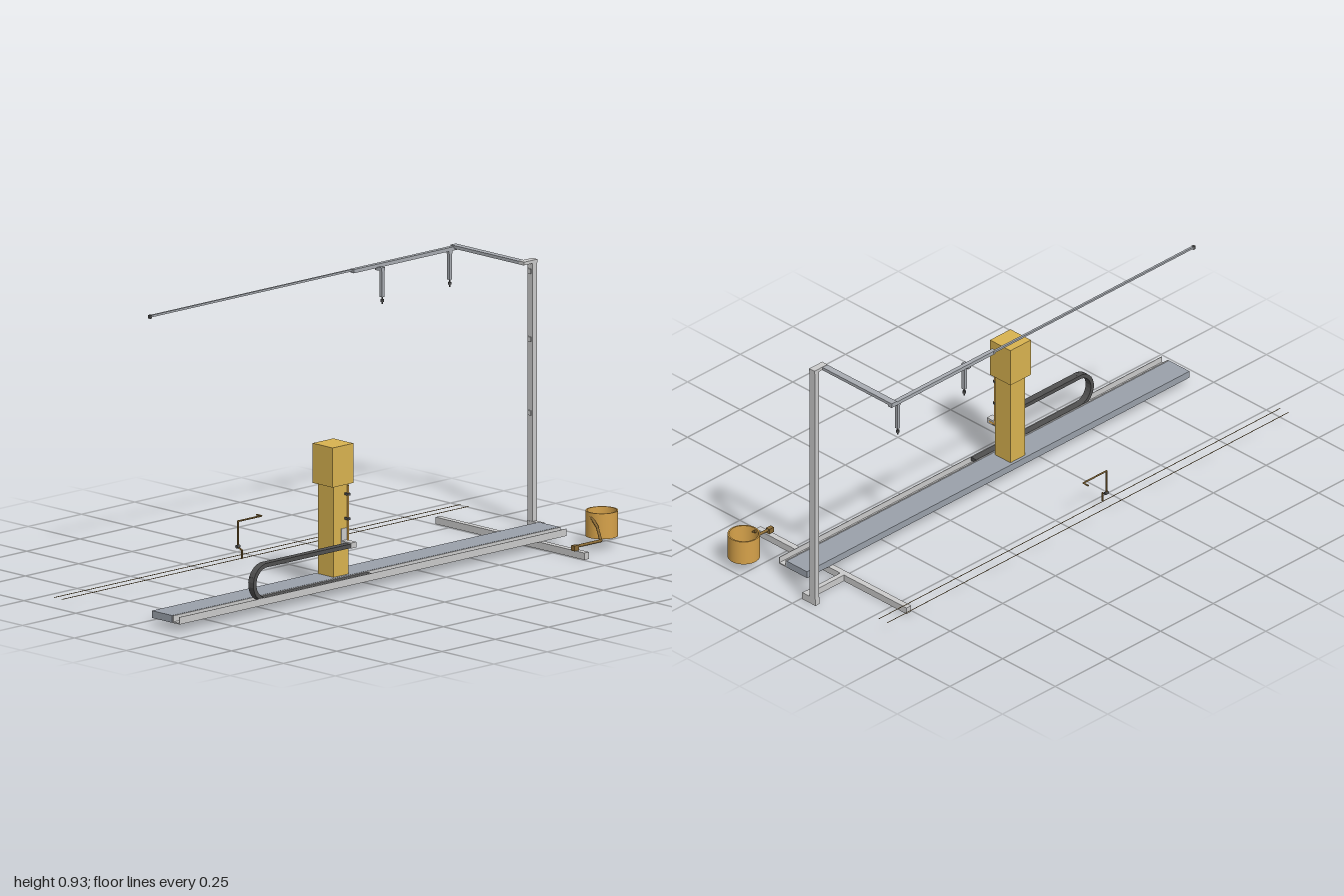
import * as THREE from 'three';

const mat = (color) => new THREE.MeshStandardMaterial({ color, side: THREE.DoubleSide });

export function createModel() {
  const model = new THREE.Group();
  const grey = mat(0xcccccc), steel = mat(0x9aa1ab), boomGrey = mat(0xa9adb3);
  const amber = mat(0xd9b350), brass = mat(0xd6a24a), bronze = mat(0x8a6a35), dark = mat(0x505050);

  const add = (name, geometry, material, parent = model) => {
    const mesh = new THREE.Mesh(geometry, material);
    mesh.name = name;
    parent.add(mesh);
    return mesh;
  };
  // Box given by its limits on each axis
  const box = (name, m, x0, x1, y0, y1, z0, z1) => {
    const b = add(name, new THREE.BoxGeometry(x1 - x0, y1 - y0, z1 - z0), m);
    b.position.set((x0 + x1) / 2, (y0 + y1) / 2, (z0 + z1) / 2);
    return b;
  };
  // Round bar between two points
  const rod = (name, m, a, b, r, sides = 10) => {
    const p = new THREE.Vector3(...a), q = new THREE.Vector3(...b), d = q.clone().sub(p);
    const c = add(name, new THREE.CylinderGeometry(r, r, d.length(), sides), m);
    c.position.copy(p).add(q).multiplyScalar(0.5);
    c.quaternion.setFromUnitVectors(new THREE.Vector3(0, 1, 0), d.normalize());
    return c;
  };
  // Bent bar with ball joints at the corners
  const bentRod = (name, m, points, r) => {
    points.forEach((p, i) => {
      if (i) rod(name, m, points[i - 1], p, r);
      if (i && i < points.length - 1) add(name + 'Bend', new THREE.SphereGeometry(r, 10, 8), m).position.set(...p);
    });
  };

  // Long floor platform and the open cable tray along its front
  box('platform', steel, -0.935, 0.88, 0.025, 0.05, 0.05, 0.147);
  box('trayFloor', grey, -0.935, 0.88, 0.025, 0.029, 0.149, 0.183);
  box('trayFrontWall', grey, -0.935, 0.88, 0.025, 0.05, 0.181, 0.183);
  box('trayBackWall', grey, -0.935, 0.88, 0.025, 0.05, 0.149, 0.153);

  // Travelling column with its head
  box('column', amber, -0.166, -0.096, 0.05, 0.367, 0.061, 0.135);
  box('columnHead', amber, -0.182, -0.085, 0.365, 0.502, 0.05, 0.147);

  // Cable chain: links along bottom run, half turn and top run
  const chain = new THREE.Group();
  chain.name = 'cableChain';
  model.add(chain);
  const cx = -0.52, cy = 0.101, r = 0.059, pitch = 0.0155;
  const bottom = cx + 0.49, runs = [bottom - cx, Math.PI * r, 0.405];
  const linkGeometry = new THREE.BoxGeometry(pitch * 1.12, 0.014, 0.025);
  const total = runs[0] + runs[1] + runs[2];
  for (let s = pitch / 2; s < total; s += pitch) {
    const link = add('chainLink', linkGeometry, dark, chain);
    if (s < runs[0]) link.position.set(bottom - s, cy - r, 0.168);
    else if (s < runs[0] + runs[1]) {
      const a = (s - runs[0]) / r;
      link.position.set(cx - r * Math.sin(a), cy - r * Math.cos(a), 0.168);
      link.rotation.z = -a;
    } else link.position.set(cx + s - runs[0] - runs[1], cy + r, 0.168);
  }

  // Chain bracket and the feed pipe climbing the column
  box('chainBracket', grey, -0.132, -0.106, 0.152, 0.171, 0.135, 0.183);
  box('bracketPlate', grey, -0.132, -0.106, 0.152, 0.212, 0.134, 0.138);
  bentRod('feedPipe', brass, [[-0.108, 0.16, 0.172], [-0.108, 0.16, 0.145], [-0.108, 0.36, 0.145]], 0.004);
  for (const y of [0.245, 0.33]) box('pipeClamp', dark, -0.114, -0.102, y - 0.004, y + 0.004, 0.134, 0.151);

  // Floor beams at the far end
  box('floorBeam', grey, 0.755, 0.777, 0, 0.024, -0.32, 0.397);
  box('sideBeam', grey, 0.777, 0.957, 0, 0.024, -0.022, -0.004);
  box('postFoot', grey, 0.938, 0.957, 0, 0.026, -0.067, -0.004);

  // Tall post with clips, and the overhead arm
  box('post', grey, 0.94, 0.96, 0.026, 0.922, -0.067, -0.042);
  for (const y of [0.4, 0.655, 0.89]) box('postClip', grey, 0.934, 0.942, y - 0.008, y + 0.008, -0.062, -0.047);
  box('postCap', grey, 0.9, 0.962, 0.918, 0.929, -0.067, -0.042);
  box('overheadArm', boomGrey, 0.9, 0.924, 0.917, 0.928, -0.397, -0.045);
  box('boom', boomGrey, 0.43, 0.924, 0.911, 0.924, -0.396, -0.38);
  box('boomExtension', boomGrey, -0.51, 0.44, 0.916, 0.923, -0.397, -0.389);
  box('boomTip', dark, -0.517, -0.508, 0.912, 0.924, -0.398, -0.388);

  // Hanging heads below the boom
  for (const [x, z] of [[0.55, -0.367], [0.885, -0.386]]) {
    box('hangerMount', boomGrey, x - 0.008, x + 0.008, 0.902, 0.914, Math.min(z, -0.386) - 0.006, z + 0.006);
    box('hanger', boomGrey, x - 0.006, x + 0.006, 0.812, 0.906, z - 0.006, z + 0.006);
    rod('hangerTip', dark, [x, 0.787, z], [x, 0.814, z], 0.0028);
    rod('hangerCollar', dark, [x, 0.795, z], [x, 0.803, z], 0.0062);
  }

  // Open ring-shaped cup on a bent arm
  const wall = [[0.05, 0], [0.055, 0], [0.055, 0.088], [0.05, 0.088], [0.05, 0]];
  for (let i = 1; i < wall.length; i++) {
    const profile = [wall[i - 1], wall[i]].map(([x, y]) => new THREE.Vector2(x, y));
    add('cup', new THREE.LatheGeometry(profile, 48), brass).position.set(0.941, 0.035, 0.29);
  }
  bentRod('cupArm', bronze,
    [[0.748, 0.037, 0.348], [0.88, 0.037, 0.348], [0.88, 0.082, 0.33], [0.893, 0.115, 0.28]], 0.005);
  box('cupArmClamp', bronze, 0.748, 0.77, 0.024, 0.042, 0.34, 0.356);

  // Pair of thin floor wires behind
  for (const z of [-0.355, -0.317]) rod('guideWire', bronze, [-1, 0.036, z], [0.905, 0.036, z], 0.0012, 6);

  // Cranked trip lever standing over the wires
  bentRod('tripLever', bronze, [[-0.16, 0.036, -0.313], [-0.16, 0.066, -0.313], [-0.16, 0.072, -0.332],
    [-0.16, 0.162, -0.332], [-0.05, 0.162, -0.332], [-0.05, 0.162, -0.356]], 0.003);
  rod('leverPivot', dark, [-0.167, 0.075, -0.332], [-0.153, 0.075, -0.332], 0.006);

  return model;
}
